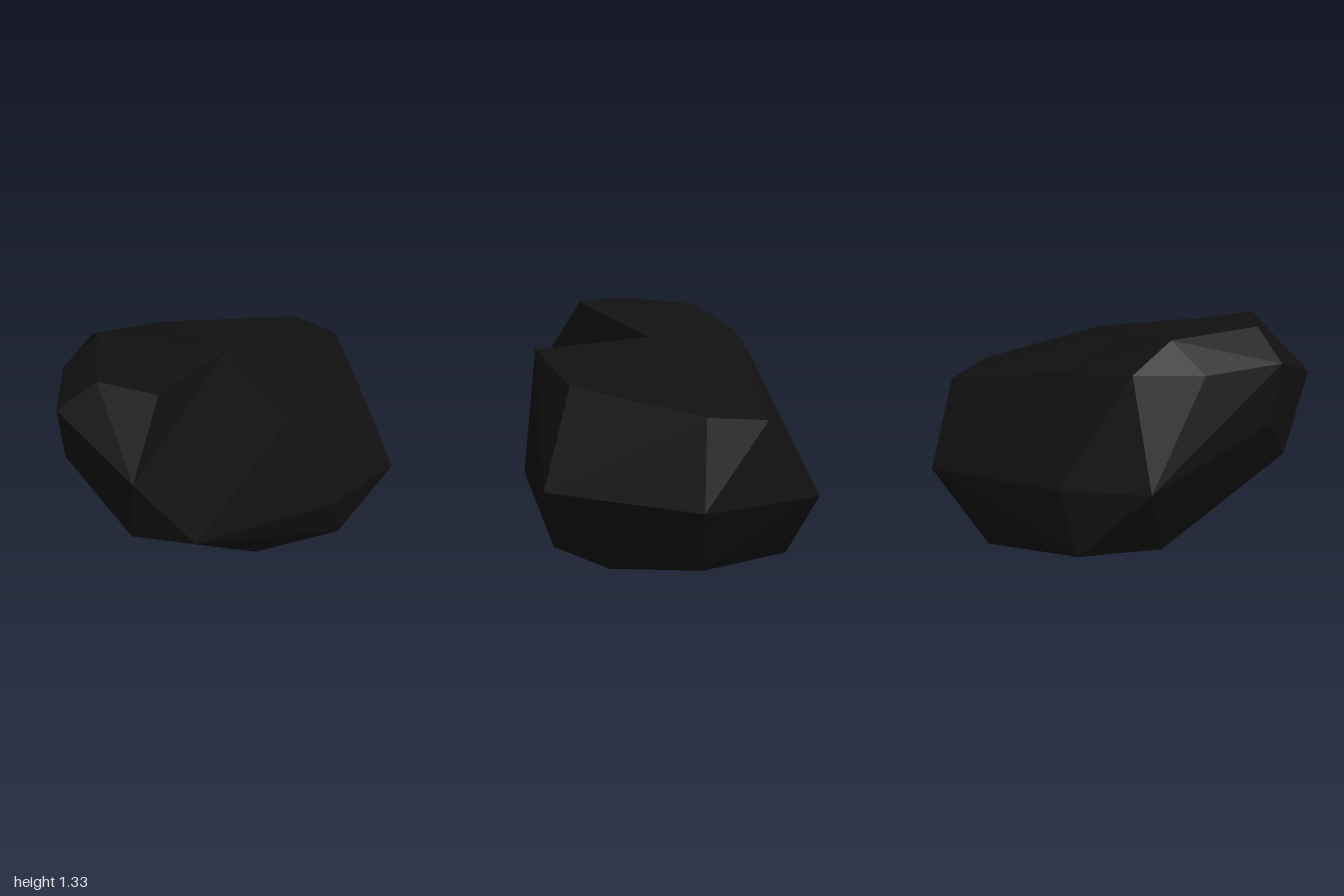
import * as THREE from 'three';
import { ConvexGeometry } from 'three/addons/geometries/ConvexGeometry.js';

const rock = new THREE.MeshStandardMaterial({ color: 0x111111, flatShading: true });

// A faceted stone block spanned by its corner points
function block(name, corners) {
  const points = corners.map((c) => new THREE.Vector3(...c));
  const mesh = new THREE.Mesh(new ConvexGeometry(points), rock);
  mesh.name = name;
  return mesh;
}

export function createModel() {
  const group = new THREE.Group();
  group.name = 'boulder';

  // Corners shared by the body and the raised shoulder
  const notchBack = [0.02, 1.19, 0];
  const notchFront = [0.02, 1.0, 1.0];
  const leftRim = [-0.71, 1.17, 0.15];
  const backRim = [-0.51, 1.11, -0.2];
  const sideTip = [-0.9, 0.63, 0.27];
  const frontCheek = [-0.48, 0.88, 0.82];
  const frontChin = [-0.07, 0.56, 0.89];

  // Foot, girdle and sloping top of the main stone
  const foot = [
    [-0.02, 0, -0.2], [0.31, 0.06, 0.21], [0.69, 0.15, -0.06], [0.55, 0.08, -0.36],
    [0.21, 0.09, -0.7], [-0.38, 0.07, -0.68], [-0.82, 0.24, -0.11], [-0.51, 0.16, 0.28],
  ];
  const girdle = [
    frontChin, [0.27, 0.6, 0.84], [0.73, 0.52, 0.15], [0.89, 0.52, -0.29],
    [0.38, 0.46, -0.915], [-0.3, 0.46, -1.0], [-0.83, 0.6, -0.2], sideTip, frontCheek,
  ];
  const top = [
    notchFront, [0.53, 1.13, 0.34], [0.69, 1.02, -0.23], [0.31, 0.91, -0.84],
    [0.01, 0.88, -0.95], backRim, leftRim, notchBack,
  ];
  group.add(block('body', [...foot, ...girdle, ...top]));

  // Raised shoulder, ending in an upright step at the middle
  const ridge = [
    [0, 1.325, 0.69], [-0.32, 1.33, 0.73], [-0.56, 1.31, 0.32],
    [-0.48, 1.19, 0.86], [-0.67, 1.17, 0.5],
  ];
  group.add(block('shoulder', [
    ...ridge, notchBack, notchFront, leftRim, backRim, sideTip, frontCheek, frontChin,
  ]));

  return group;
}
